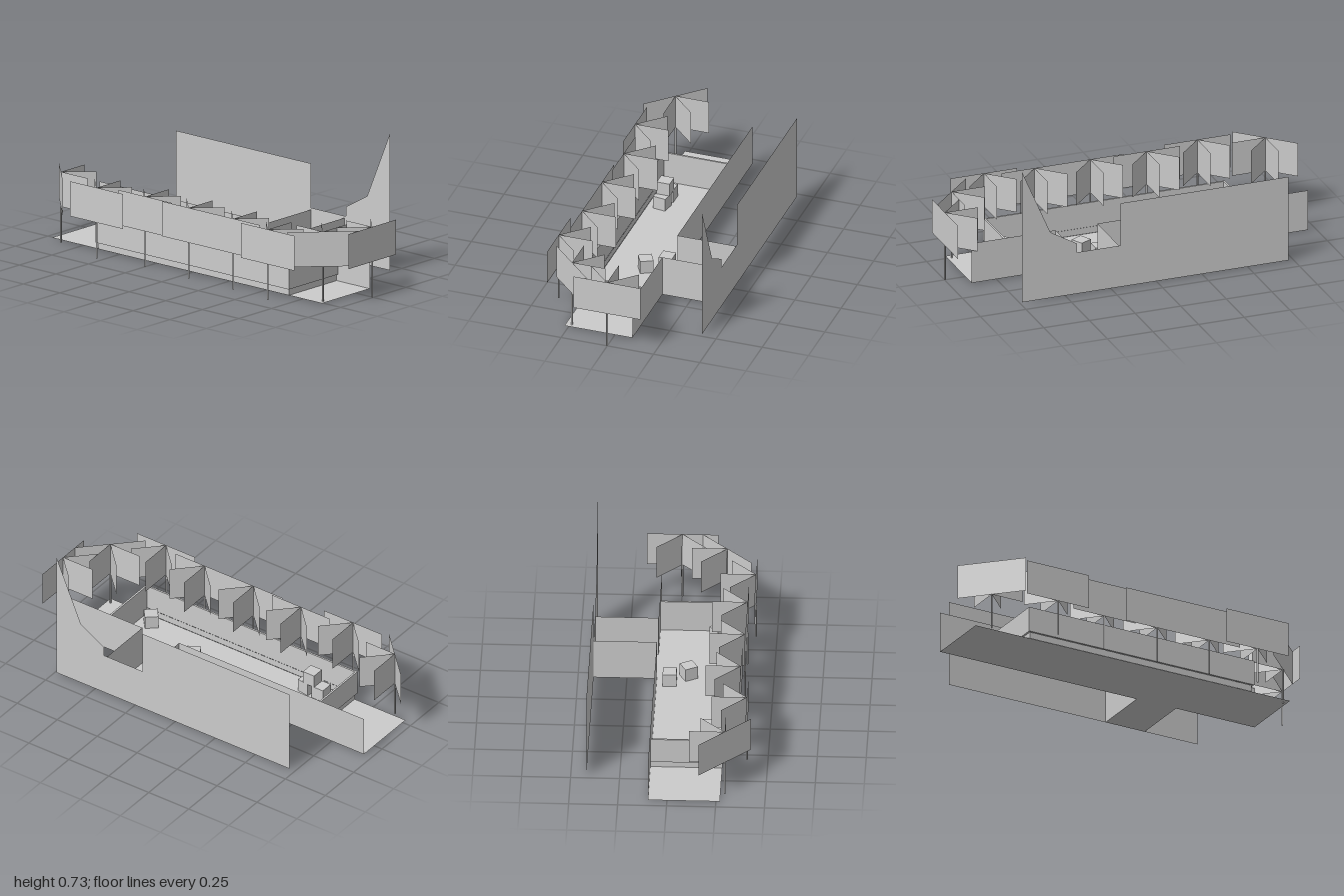
import * as THREE from 'three';

const material = new THREE.MeshStandardMaterial({ color: 0xcccccc, side: THREE.DoubleSide, flatShading: true });
const FLOOR = 0.005;

function add(parent, name, geometry, x = 0, y = 0, z = 0, turn = 0) {
  const mesh = new THREE.Mesh(geometry, material);
  mesh.name = name;
  mesh.position.set(x, y, z);
  mesh.rotation.y = turn;
  parent.add(mesh);
  return mesh;
}

// Upright sheet between two ground points
function sheet(parent, name, x0, z0, x1, z1, y0, y1) {
  const dx = x1 - x0, dz = z1 - z0;
  const geometry = new THREE.PlaneGeometry(Math.hypot(dx, dz), y1 - y0);
  return add(parent, name, geometry, (x0 + x1) / 2, (y0 + y1) / 2, (z0 + z1) / 2, Math.atan2(-dz, dx));
}

function shapeFrom(points) {
  return new THREE.Shape(points.map(([a, b]) => new THREE.Vector2(a, b)));
}

// Post carrying a wide outer panel and three half panels fanned inward
function createTree(x, z, inward) {
  const tree = new THREE.Group();
  tree.name = 'tree';
  const half = 0.182, y0 = 0.189, y1 = 0.374;
  add(tree, 'post', new THREE.BoxGeometry(0.007, y0, 0.007), 0, y0 / 2, 0, Math.PI / 4);
  sheet(tree, 'outerPanel', 0, -half, 0, half, y0, y1);
  for (const a of [-Math.PI / 4, 0, Math.PI / 4]) {
    sheet(tree, 'fanPanel', 0, 0, half * Math.cos(a), half * Math.sin(a), y0, y1);
  }
  tree.position.set(x, 0, z);
  tree.rotation.y = inward;
  return tree;
}

export function createModel() {
  const model = new THREE.Group();
  model.name = 'courtyard';

  // T-shaped floor
  const floor = new THREE.ShapeGeometry(shapeFrom([
    [-0.27, -0.89], [0.097, -0.89], [0.097, -0.43], [0.42, -0.43],
    [0.42, -0.2], [0.097, -0.2], [0.097, 0.955], [-0.27, 0.955],
  ]));
  floor.rotateX(-Math.PI / 2);
  add(model, 'floor', floor, 0, FLOOR, 0);

  // Side walls and entrance passage
  const wallTop = 0.225;
  sheet(model, 'frontSideWall', 0.097, 0.89, 0.097, 0.43, FLOOR, wallTop);
  sheet(model, 'backSideWall', 0.097, 0.2, 0.097, -0.955, FLOOR, wallTop);
  for (const z of [0.43, 0.2]) sheet(model, 'passageWall', 0.097, z, 0.42, z, FLOOR, wallTop);

  // Street facade with its tall pointed end, drawn as (-z, y)
  const facade = new THREE.ShapeGeometry(shapeFrom([
    [-0.74, FLOOR], [0.72, FLOOR], [0.72, 0.47], [-0.2, 0.47], [-0.2, 0.235],
    [-0.44, 0.235], [-0.44, 0.285], [-0.585, 0.37], [-0.74, 0.73],
  ]));
  add(model, 'facade', facade, 0.42, 0, 0, Math.PI / 2);

  // Low U-shaped enclosure: recessed base and thicker upper band
  const back = -0.642, front = 0.669, left = -0.277, right = 0.097;
  sheet(model, 'enclosureBase', -0.271, -0.637, -0.271, 0.664, FLOOR, 0.04);
  sheet(model, 'enclosureBase', -0.271, -0.637, right, -0.637, FLOOR, 0.04);
  sheet(model, 'enclosureBase', -0.271, 0.664, right, 0.664, FLOOR, 0.04);
  const bandHeight = 0.135, bandY = 0.1075, thick = 0.01;
  add(model, 'enclosureSide', new THREE.BoxGeometry(thick, bandHeight, front - back + thick),
    left, bandY, (front + back) / 2);
  for (const z of [back, front]) {
    add(model, 'enclosureEnd', new THREE.BoxGeometry(right - left - thick / 2, bandHeight, thick),
      (left + right + thick / 2) / 2, bandY, z);
  }

  // Cube seats, one stacked on two others: x, level, z, turn
  const s = 0.07;
  const seats = [
    [-0.19, 0, -0.485, 0], [-0.195, 0, -0.395, -0.15], [-0.19, 1, -0.43, 0],
    [0.03, 0, 0.162, 0], [-0.065, 0, 0.225, 0.5], [-0.205, 0, 0.59, 0.7],
  ];
  for (const [x, level, z, turn] of seats) {
    add(model, 'cubeSeat', new THREE.BoxGeometry(s, s, s), x, FLOOR + s * (level + 0.5), z, turn);
  }

  // Row of trees curving round the open side
  const trees = [
    [-0.292, -0.873, -Math.PI / 4], [-0.393, -0.54, 0], [-0.35, -0.245, 0], [-0.36, 0.06, 0],
    [-0.36, 0.365, 0], [-0.393, 0.63, 0], [-0.237, 0.868, Math.PI / 4], [-0.003, 0.997, Math.PI / 2],
  ];
  for (const [x, z, inward] of trees) model.add(createTree(x, z, inward));

  return model;
}
